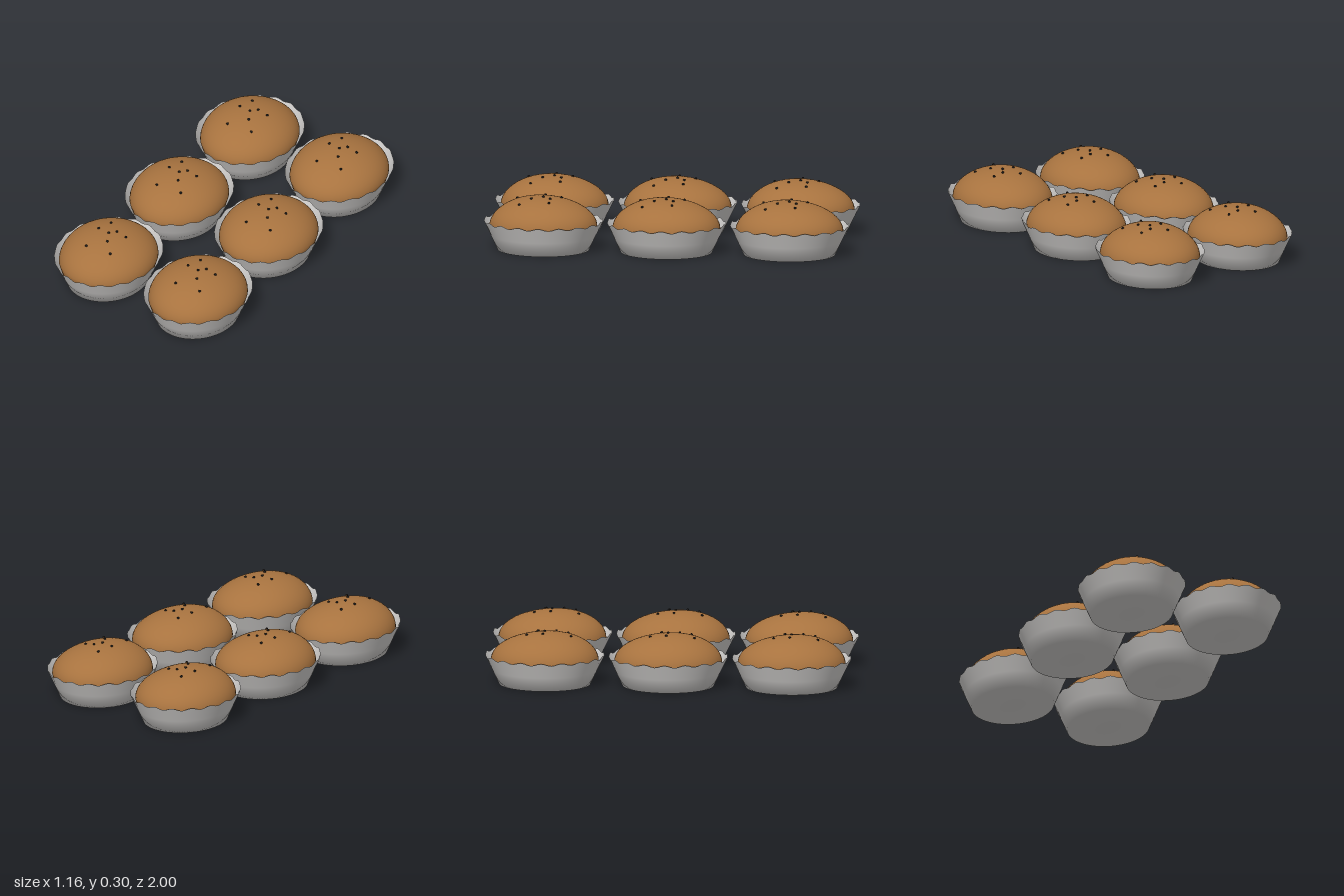
import * as THREE from 'three';

const RX = 0.26, RZ = 0.295; // bun radii

// height of the slightly lopsided bun top, nx and nz in -1..1
function domeHeight(nx, nz) {
  const r2 = Math.min(1, nx * nx + nz * nz);
  return 0.13 + 0.16 * Math.sqrt(1 - r2) + (1 - r2) * (0.012 * nz - 0.018 * nx);
}

// paper cup: closed base, flared wall and scalloped rim
function cupGeometry() {
  const profile = [[0, 0], [0.218, 0], [0.25, 0.08], [0.283, 0.161]].map(([x, y]) => new THREE.Vector2(x, y));
  const geo = new THREE.LatheGeometry(profile, 108);
  const p = geo.attributes.position;
  for (let i = 0; i < p.count; i++) {
    if (p.getY(i) > 0.15) p.setY(i, 0.161 + 0.006 * Math.cos(18 * Math.atan2(p.getZ(i), p.getX(i))));
  }
  geo.scale(1, 1, 0.325 / 0.283);
  return geo;
}

// bun: tapered hidden lower half and a domed top
function bunGeometry() {
  const profile = [[0, 0.02], [0.8, 0.02], [0.96, 0.09]].map(([x, y]) => new THREE.Vector2(x, y));
  for (let i = 0; i <= 16; i++) {
    const a = (i / 16) * Math.PI / 2;
    profile.push(new THREE.Vector2(i === 16 ? 0 : Math.cos(a), 0.13 + 0.16 * Math.sin(a)));
  }
  const geo = new THREE.LatheGeometry(profile, 48);
  const p = geo.attributes.position;
  for (let i = 0; i < p.count; i++) {
    if (p.getY(i) > 0.131) p.setY(i, domeHeight(p.getX(i), p.getZ(i)));
  }
  geo.scale(RX, 1, RZ);
  return geo;
}

export function createModel() {
  const paper = new THREE.MeshStandardMaterial({ color: 0xcfcdcb, side: THREE.DoubleSide });
  paper.name = 'paper';
  const crust = new THREE.MeshStandardMaterial({ color: 0xa8733f });
  crust.name = 'crust';
  const dark = new THREE.MeshStandardMaterial({ color: 0x1c1917 });
  dark.name = 'darkSeed';

  const cupGeo = cupGeometry();
  const bunGeo = bunGeometry();
  const seedGeo = new THREE.SphereGeometry(0.007, 10, 8);
  const seedSpots = [
    [-0.05, -0.095], [-0.07, -0.005], [0, 0], [0.027, -0.04],
    [0.087, -0.04], [0.035, 0.062], [0.095, 0.122], [-0.047, 0.147],
  ];

  const add = (parent, geo, mat, name) => {
    const mesh = new THREE.Mesh(geo, mat);
    mesh.name = name;
    parent.add(mesh);
    return mesh;
  };

  // two columns of three muffins
  const model = new THREE.Group();
  model.name = 'muffins';
  for (const x of [-0.297, 0.297]) {
    for (const z of [-0.675, 0, 0.675]) {
      const muffin = new THREE.Group();
      muffin.name = 'muffin';
      muffin.position.set(x, 0, z);
      add(muffin, cupGeo, paper, 'paperCup');
      add(muffin, bunGeo, crust, 'bun');
      for (const [sx, sz] of seedSpots) {
        add(muffin, seedGeo, dark, 'seed').position.set(sx, domeHeight(sx / RX, sz / RZ) + 0.002, sz);
      }
      model.add(muffin);
    }
  }
  return model;
}
